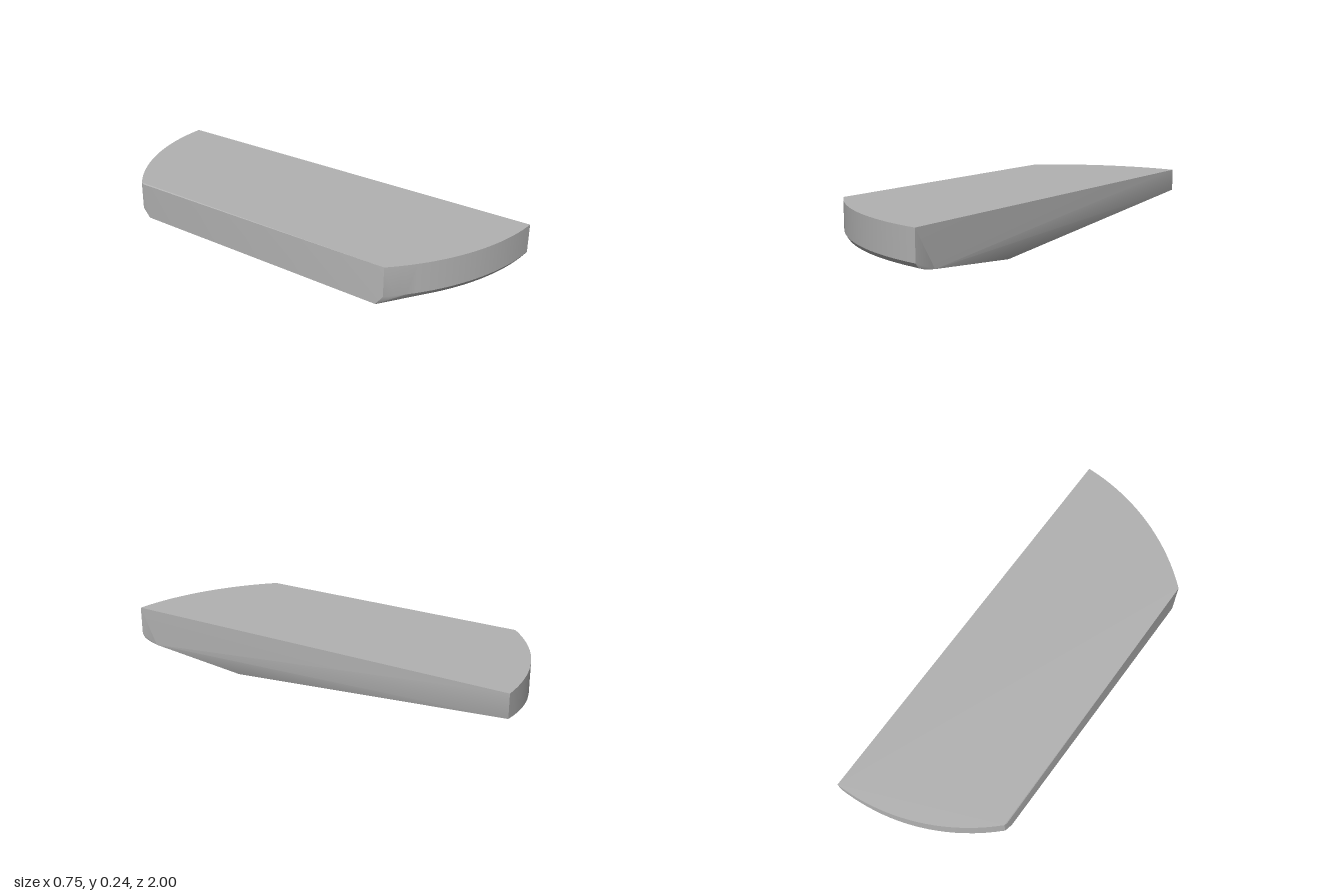
import * as THREE from 'three';
import { ConvexGeometry } from 'three/addons/geometries/ConvexGeometry.js';
import { toCreasedNormals } from 'three/addons/utils/BufferGeometryUtils.js';

export function createModel() {
  const group = new THREE.Group();
  group.name = 'slab';
  const grey = new THREE.MeshStandardMaterial({ color: 0xb2b2b2 });
  grey.name = 'grey';

  const points = [];
  const add = (x, y, z) => points.push(new THREE.Vector3(x, y, z));
  const top = 0.237;
  const steps = 20;

  // Curved ends: a wall with a rounded lower edge
  for (let i = 0; i <= steps; i++) {
    const t = i / steps;

    // Front arc, from the left corner towards the right
    const fx = 0.367 - 0.73 * t;
    const fz = -0.06 + Math.sqrt(1.06 ** 2 - (fx - 0.367) ** 2);
    add(fx, top, fz);
    add(fx, 0.1, fz);
    add(fx, 0.08, fz - 0.015);
    add(fx, 0.067, fz - 0.05);

    // Back arc, whose lower edge rises towards the left corner
    const bx = 0.34 - 0.71 * t;
    const bz = -Math.sqrt(1 - (bx - 0.34) ** 2);
    const rise = Math.max(0, (bx - 0.05) / 0.29);
    add(bx, top, bz);
    add(bx, 0.1 + 0.028 * rise, bz);
    if (rise === 0) {
      add(bx, 0.08, bz + 0.02);
      add(bx, 0.068, bz + 0.055);
    }
  }

  // Lower corners of the long sides
  add(0.372, 0.06, 0.9);
  add(-0.374, 0.06, 0.68);
  add(-0.374, 0.06, -0.66);
  add(-0.374, top - 0.005, -0.69);

  // Flat lowest patch of the underside
  add(0.33, 0, 0.4);
  add(0.05, 0, 0.4);
  add(-0.04, 0, 0.1);
  add(-0.04, 0, -0.3);
  add(0.06, 0, -0.3);

  const body = new THREE.Mesh(toCreasedNormals(new ConvexGeometry(points), 0.42), grey);
  body.name = 'body';
  group.add(body);
  return group;
}
